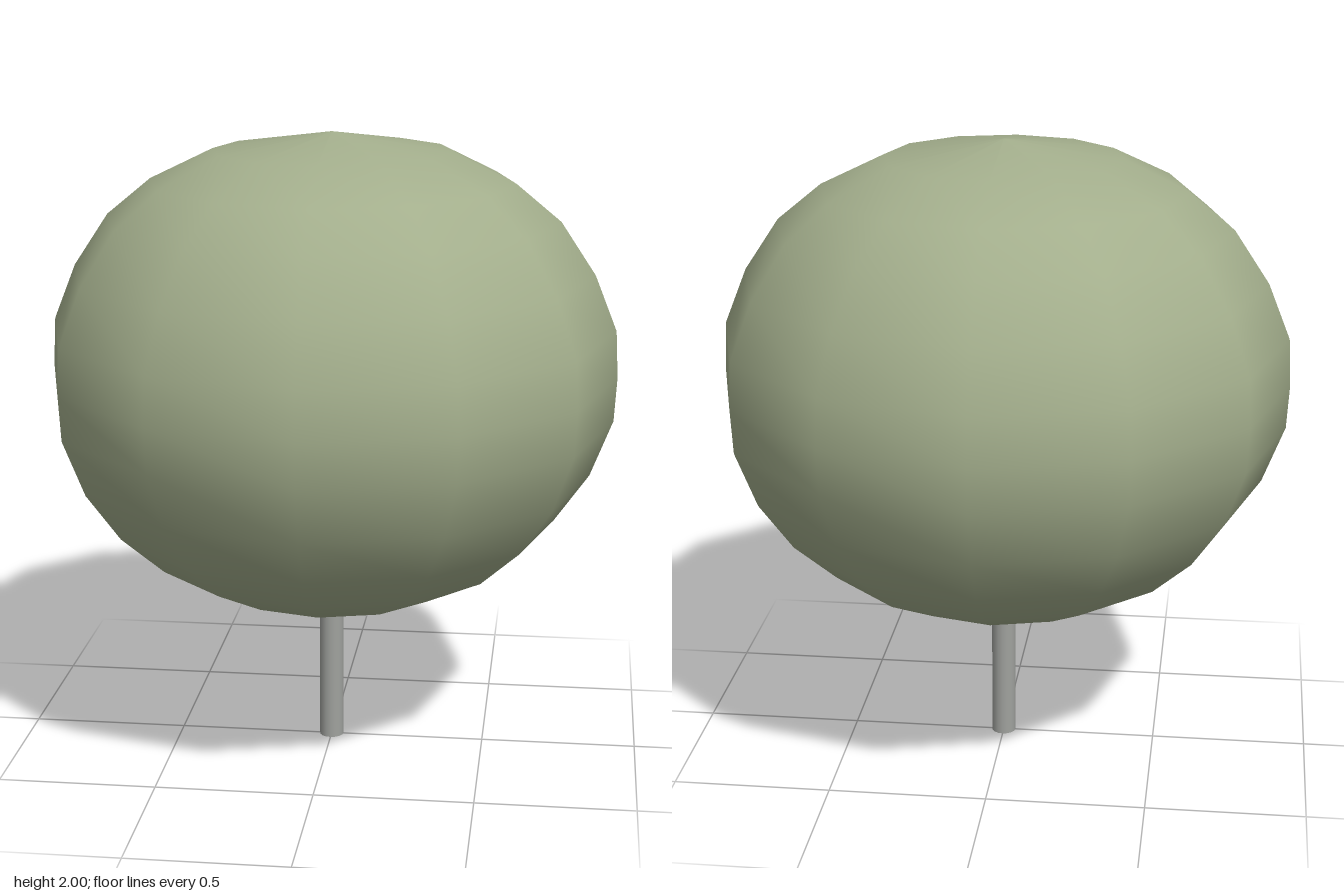
import * as THREE from 'three';

export function createModel() {
  const tree = new THREE.Group();
  tree.name = 'tree';

  // Rounded crown: twelve-sided lathe, smooth shaded, profile from bottom to top
  const profile = [
    [0, 0.485], [0.375, 0.54], [0.575, 0.64], [0.715, 0.765], [0.825, 0.92], [0.895, 1.1], [0.903, 1.24],
    [0.895, 1.39], [0.825, 1.565], [0.715, 1.73], [0.575, 1.845], [0.375, 1.942], [0, 2],
  ].map(([r, y]) => new THREE.Vector2(r, y));
  const crown = new THREE.Mesh(
    new THREE.LatheGeometry(profile, 12),
    new THREE.MeshStandardMaterial({ color: 0xa3ae8c }),
  );
  crown.name = 'crown';
  tree.add(crown);

  // Thin straight trunk, running a little way into the crown
  const trunkHeight = 0.6;
  const trunk = new THREE.Mesh(
    new THREE.CylinderGeometry(0.039, 0.039, trunkHeight, 16),
    new THREE.MeshStandardMaterial({ color: 0xa0a29e }),
  );
  trunk.name = 'trunk';
  trunk.position.y = trunkHeight / 2;
  tree.add(trunk);

  return tree;
}
